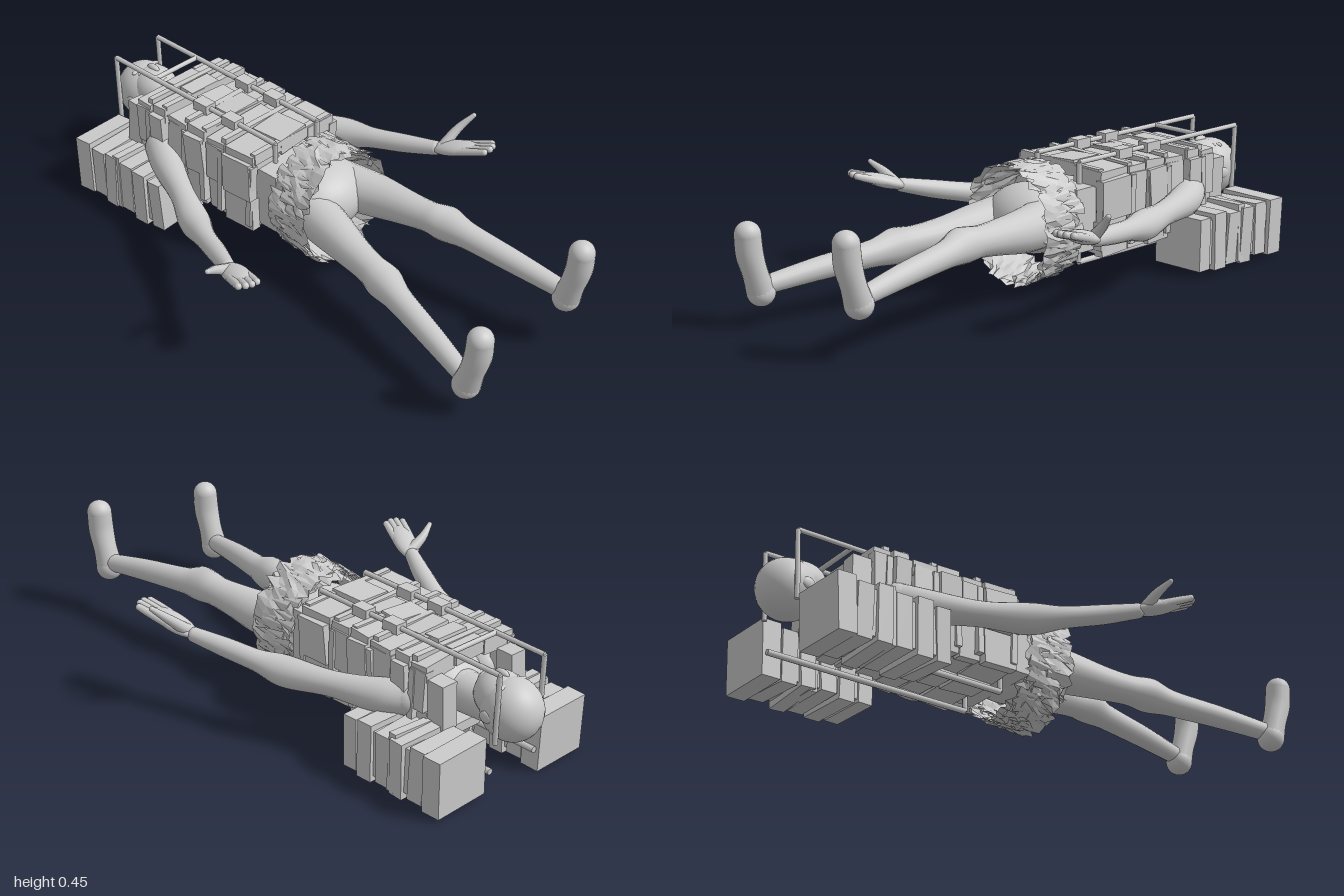
import * as THREE from 'three';

const V = (x, y, z) => new THREE.Vector3(x, y, z);
const CZ = -0.06; // centre line of the body in z

export function createModel() {
  const root = new THREE.Group();
  const skin = new THREE.MeshStandardMaterial({ color: 0xcccccc });
  const rough = new THREE.MeshStandardMaterial({ color: 0xcccccc, flatShading: true, side: THREE.DoubleSide });
  let seed = 7;
  const rnd = () => ((seed = (seed * 16807) % 2147483647) / 2147483647) - 0.5;

  const group = (name, parent = root) => {
    const g = new THREE.Group();
    g.name = name;
    parent.add(g);
    return g;
  };
  const add = (parent, name, geo, mat = skin) => {
    const m = new THREE.Mesh(geo, mat);
    m.name = name;
    parent.add(m);
    return m;
  };
  const ball = (parent, name, p, s) => {
    const m = add(parent, name, new THREE.SphereGeometry(1, 28, 20));
    m.position.set(...p);
    m.scale.set(...s);
    return m;
  };
  const box = (parent, name, p, s, jitter = 0) => {
    const m = add(parent, name, new THREE.BoxGeometry(...s), rough);
    m.position.set(...p);
    m.rotation.set(rnd() * jitter, rnd() * jitter, rnd() * jitter);
    return m;
  };

  // Tapered tube through rows of [x, y, z, radius], with round ends
  const limb = (parent, name, rows, sides = 18) => {
    const n = rows.length - 1, segs = n * 7;
    const curve = new THREE.CatmullRomCurve3(rows.map((r) => V(r[0], r[1], r[2])));
    const radii = new THREE.CatmullRomCurve3(rows.map((r, i) => V(i, r[3], 0)));
    curve.getPointAt = curve.getPoint;
    const geo = new THREE.TubeGeometry(curve, segs, 1, sides, false);
    const pos = geo.attributes.position, p = V(0, 0, 0);
    for (let i = 0; i <= segs; i++) {
      const c = curve.getPoint(i / segs), r = radii.getPoint(i / segs).y;
      for (let j = 0; j <= sides; j++) {
        const k = i * (sides + 1) + j;
        p.fromBufferAttribute(pos, k).sub(c).multiplyScalar(r).add(c);
        pos.setXYZ(k, p.x, p.y, p.z);
      }
    }
    add(parent, name, geo);
    [rows[0], rows[n]].forEach((r) => ball(parent, name + 'End', r.slice(0, 3), [r[3], r[3], r[3]]));
  };
  const rod = (parent, name, a, b, r = 0.009) => {
    const m = add(parent, name, new THREE.CylinderGeometry(r, r, a.distanceTo(b), 8));
    m.position.copy(a).lerp(b, 0.5);
    m.quaternion.setFromUnitVectors(V(0, 1, 0), b.clone().sub(a).normalize());
  };

  // Head lying back, face up
  const head = group('head');
  ball(head, 'skull', [-0.895, 0.27, -0.07], [0.105, 0.105, 0.098]);
  ball(head, 'face', [-0.845, 0.3, -0.07], [0.09, 0.08, 0.08]);
  ball(head, 'chin', [-0.785, 0.33, -0.07], [0.025, 0.03, 0.035]);
  ball(head, 'nose', [-0.848, 0.376, -0.07], [0.028, 0.015, 0.013]);
  ball(head, 'mouth', [-0.808, 0.364, -0.07], [0.009, 0.009, 0.026]);
  for (const s of [-1, 1]) {
    ball(head, 'brow', [-0.893, 0.357, -0.07 + s * 0.034], [0.012, 0.01, 0.028]);
    ball(head, 'eye', [-0.872, 0.358, -0.07 + s * 0.034], [0.009, 0.009, 0.017]);
    ball(head, 'ear', [-0.87, 0.265, -0.07 + s * 0.093], [0.025, 0.02, 0.009]);
  }
  limb(head, 'neck', [[-0.83, 0.25, -0.07, 0.06], [-0.68, 0.25, -0.065, 0.07]]);

  // Trunk and hips
  const trunk = group('trunk');
  ball(trunk, 'chest', [-0.47, 0.25, CZ], [0.25, 0.13, 0.17]);
  ball(trunk, 'abdomen', [-0.2, 0.25, CZ], [0.24, 0.115, 0.15]);
  ball(trunk, 'hips', [0, 0.245, CZ], [0.14, 0.12, 0.165]);

  // Legs with full knees and upright feet
  const legs = group('legs');
  limb(legs, 'leftLeg', [[0, 0.24, 0.02, 0.085], [0.15, 0.225, 0.05, 0.074], [0.28, 0.212, 0.078, 0.059], [0.38, 0.206, 0.099, 0.053],
    [0.45, 0.2, 0.115, 0.061], [0.53, 0.186, 0.135, 0.046], [0.72, 0.163, 0.185, 0.039], [0.9, 0.135, 0.233, 0.031]]);
  limb(legs, 'rightLeg', [[0, 0.25, -0.14, 0.085], [0.15, 0.25, -0.175, 0.074], [0.28, 0.256, -0.187, 0.059], [0.37, 0.261, -0.195, 0.053],
    [0.44, 0.265, -0.2, 0.061], [0.52, 0.253, -0.21, 0.046], [0.72, 0.23, -0.23, 0.039], [0.9, 0.205, -0.25, 0.031]]);
  for (const [name, y, z] of [['leftFoot', 0.068, 0.238], ['rightFoot', 0.138, -0.25]]) {
    const foot = group(name, legs);
    limb(foot, 'sole', [[0.91, y + 0.047, z, 0.048], [0.93, y + 0.11, z, 0.042],
      [0.95, y + 0.18, z, 0.045], [0.956, y + 0.246, z, 0.044]]);
  }

  // Arms with open hands
  const arm = (name, rows, tip, thumb) => {
    const g = group(name);
    limb(g, 'armLimb', rows);
    const w = V(...rows[rows.length - 1].slice(0, 3)), t = V(...tip);
    const dir = t.clone().sub(w), side = V(-dir.z, 0, dir.x).normalize();
    const at = (f, k) => w.clone().addScaledVector(dir, f).addScaledVector(side, k);
    const palm = ball(g, 'palm', at(0.36, 0).toArray(), [0.09, 0.024, 0.042]);
    palm.quaternion.setFromUnitVectors(V(1, 0, 0), dir.clone().normalize());
    for (let i = -1.5; i < 2; i++) {
      const a = at(0.4, i * 0.018), b = at(0.72, i * 0.02), c = at(0.97 - Math.abs(i) * 0.05, i * 0.021);
      limb(g, 'finger', [[...a, 0.015], [...b, 0.014], [...c, 0.012]], 8);
    }
    const m = w.clone().lerp(V(...thumb), 0.6);
    limb(g, 'thumb', [[...at(0.12, 0), 0.022], [...m, 0.016], [...thumb, 0.009]], 8);
  };
  arm('leftArm', [[-0.6, 0.24, 0.12, 0.062], [-0.52, 0.228, 0.17, 0.056], [-0.36, 0.217, 0.25, 0.043], [-0.22, 0.212, 0.325, 0.053],
    [-0.12, 0.228, 0.375, 0.037], [0, 0.252, 0.43, 0.033], [0.1, 0.275, 0.48, 0.026]], [0.28, 0.335, 0.555], [0.14, 0.345, 0.605]);
  arm('rightArm', [[-0.6, 0.255, -0.23, 0.062], [-0.52, 0.25, -0.285, 0.056], [-0.36, 0.243, -0.335, 0.043], [-0.2, 0.245, -0.39, 0.053],
    [-0.1, 0.255, -0.42, 0.037], [0.02, 0.27, -0.455, 0.033], [0.13, 0.285, -0.49, 0.026]], [0.345, 0.355, -0.55], [0.2, 0.395, -0.61]);

  // Armour: rows of slabs wrapped around the trunk
  const armour = group('armour');
  const starts = [-0.7, -0.625, -0.545, -0.45, -0.355, -0.265];
  const ends = [-0.635, -0.565, -0.455, -0.365, -0.275, -0.135];
  starts.forEach((x0, i) => {
    const len = ends[i] - x0, x = x0 + len / 2, step = (i % 2) * 0.012;
    for (const k of [-1, 0, 1]) {
      const drop = Math.abs(k) * 0.012;
      box(armour, 'frontSlab', [x, 0.39 - drop + step * 0.7, CZ + k * 0.132], [len, 0.055, 0.126], 0.12);
      box(armour, 'backSlab', [x, 0.132 + drop, CZ + k * 0.115], [len, 0.035, 0.115], 0.1);
    }
    for (const s of [-1, 1]) {
      box(armour, 'sideSlab', [x, 0.315, CZ + s * (0.183 + step)], [len, 0.14, 0.035], 0.12);
      box(armour, 'lowerSideSlab', [x, 0.18, CZ + s * (0.17 + step)], [len, 0.12, 0.035], 0.12);
      box(armour, 'sideRidge', [ends[i] - 0.01, 0.26, CZ + s * 0.192], [0.022, 0.24, 0.03], 0.08);
    }
    box(armour, 'frontRidge', [ends[i] - 0.01, 0.402, CZ], [0.022, 0.04, 0.37], 0.06);
  });
  box(armour, 'waistBand', [-0.1, 0.25, CZ], [0.09, 0.22, 0.33]);
  for (const s of [-1, 1]) box(armour, 'collarSlab', [-0.735, 0.28, CZ + s * 0.155], [0.07, 0.16, 0.06], 0.1);

  // Carrying frame of thin rods
  const frame = group('frame');
  for (const z of [-0.165, 0.035]) {
    rod(frame, 'frontRod', V(-0.925, 0.433, z), V(-0.125, 0.433, z));
    rod(frame, 'headPost', V(-0.925, 0.433, z), V(-0.915, 0.19, z));
    rod(frame, 'endPost', V(-0.125, 0.433, z), V(-0.125, 0.085, z));
    rod(frame, 'backRod', V(-0.9, 0.085, z), V(-0.125, 0.085, z), 0.011);
    for (const x of [-0.47, -0.33]) box(frame, 'clamp', [x, 0.433, z], [0.065, 0.035, 0.045]);
  }
  rod(frame, 'crossRod', V(-0.72, 0.433, -0.165), V(-0.72, 0.433, 0.035));

  // Slatted packs behind both shoulders
  const pack = (name, z, y) => {
    const g = group(name);
    box(g, 'packCore', [-0.695, y, z], [0.4, 0.16, 0.185]);
    [0.07, 0.06, 0.055, 0.06, 0.06, 0.055].forEach((len, i) => {
      const k = (i % 2) * 0.015;
      box(g, 'packSlat', [-0.872 + i * 0.073, y, z], [len, 0.2 - k, 0.212 - k], 0.12);
    });
    box(g, 'packRidge', [-0.7, y + 0.005, z], [0.03, 0.205, 0.2], 0.08);
  };
  pack('leftPack', 0.152, 0.105);
  pack('rightPack', -0.297, 0.115);

  // Ragged skirt: two jagged sleeves flaring to the open end, under loose strips
  const skirt = group('skirt');
  const N = 56;
  for (const [name, waist, hem] of [['outerSleeve', 1, 1.05], ['innerSleeve', 0.84, 1]]) {
    const geo = new THREE.CylinderGeometry(hem, waist, 0.16, N, 5, true);
    geo.rotateZ(-Math.PI / 2);
    const pos = geo.attributes.position;
    for (let r = 0; r <= 5; r++) {
      const first = [];
      for (let j = 0; j <= N; j++) {
        const k = r * (N + 1) + j, edge = r === 0 || r === 5 ? 0.045 : 0.01;
        const f = 1 + rnd() * 0.09, x = pos.getX(k) + 0.02 + rnd() * edge;
        const p = [x, 0.238 + pos.getY(k) * 0.198 * f, CZ + pos.getZ(k) * 0.185 * f];
        if (j === 0) first.push(...p);
        pos.setXYZ(k, ...(j === N ? first : p));
      }
    }
    geo.computeVertexNormals();
    add(skirt, name, geo, rough);
  }
  for (let i = 0; i < 72; i++) {
    const a = (i / 24) * Math.PI * 2 + rnd() * 0.2, row = Math.floor(i / 24);
    const strip = add(skirt, 'strip', new THREE.ConeGeometry(0.02, 0.09, 4), rough);
    strip.geometry.rotateZ(-Math.PI / 2).scale(1, 0.3, 1);
    strip.position.set(-0.02 + row * 0.04 + rnd() * 0.02, 0.238 + Math.cos(a) * 0.203, CZ + Math.sin(a) * 0.19);
    strip.rotation.set(a, rnd() * 0.5, 0.1 + rnd() * 0.2);
  }
  return root;
}
